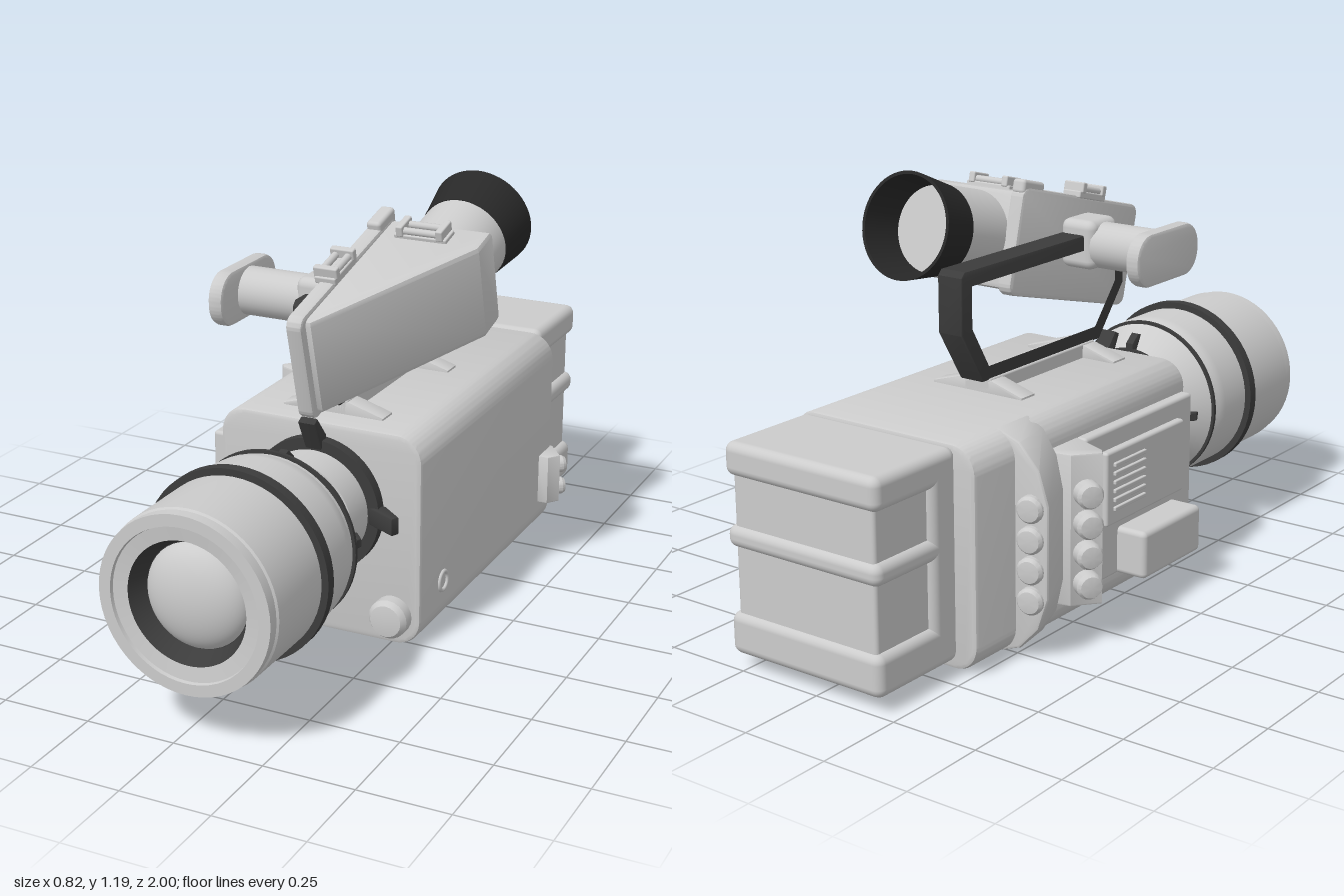
import * as THREE from 'three';
import { toCreasedNormals } from 'three/addons/utils/BufferGeometryUtils.js';
import { RoundedBoxGeometry } from 'three/addons/geometries/RoundedBoxGeometry.js';

const mat = (color, side = THREE.FrontSide) => new THREE.MeshStandardMaterial({ color, side });
const grey = mat(0xcccccc);
const greyTwoSided = mat(0xcccccc, THREE.DoubleSide);
const dark = mat(0x3c3c3c);
const rubber = mat(0x282828, THREE.DoubleSide);

function add(parent, name, geometry, material = grey, pos = [0, 0, 0]) {
  const mesh = new THREE.Mesh(geometry, material);
  mesh.name = name;
  mesh.position.set(...pos);
  parent.add(mesh);
  return mesh;
}

// Rounded box given by its minimum and maximum corners
function box(parent, name, min, max, r = 0.01, material = grey) {
  const size = max.map((v, i) => v - min[i]);
  return add(parent, name, new RoundedBoxGeometry(...size, 3, r), material, min.map((v, i) => v + size[i] / 2));
}

const polygon = pts => new THREE.Shape(pts.map(p => new THREE.Vector2(...p)));

function roundedRect(w, h, r) {
  const s = new THREE.Shape(), x = w / 2 - r, y = h / 2 - r;
  s.absarc(x, y, r, 0, Math.PI / 2);
  s.absarc(-x, y, r, Math.PI / 2, Math.PI);
  s.absarc(-x, -y, r, Math.PI, Math.PI * 1.5);
  s.absarc(x, -y, r, Math.PI * 1.5, Math.PI * 2);
  s.closePath();
  return s;
}

// Bevelled extrusion along z, centred on z = 0
function extrude(shape, depth, b = 0.008) {
  const g = new THREE.ExtrudeGeometry(shape, {
    depth: depth - 2 * b, bevelThickness: b, bevelSize: b, bevelOffset: -b, bevelSegments: 2, curveSegments: 10,
  });
  g.translate(0, 0, b - depth / 2);
  return toCreasedNormals(g, 0.6);
}
// Plan outline in (x, z), extruded along y
const extrudePlan = (pts, height, b) =>
  extrude(polygon(pts.map(([x, z]) => [x, -z])), height, b).rotateX(-Math.PI / 2);
// Side outline in (z, y), extruded along x
const extrudeSide = (shape, width, b) => extrude(shape, width, b).rotateY(-Math.PI / 2);

// Turned part around the z axis, profile in (radius, z)
const turned = (pts, seg = 56) =>
  toCreasedNormals(new THREE.LatheGeometry(pts.map(p => new THREE.Vector2(...p)), seg).rotateX(Math.PI / 2), 0.5);

// Round button pointing along dir
function button(parent, name, pos, dir, r, len) {
  const g = turned([[r, -len], [r, len * 0.5], [r * 0.8, len * 0.85], [0, len]], 20);
  const m = add(parent, name, g, grey, pos);
  m.quaternion.setFromUnitVectors(new THREE.Vector3(0, 0, 1), new THREE.Vector3(...dir).normalize());
}

// Two-part latch, centred on the origin, lying along x
function latch(parent, name, pos, width) {
  const g = new THREE.Group();
  g.name = name;
  g.position.set(...pos);
  box(g, 'latchBase', [-width / 2, -0.015, -0.03], [width / 2, 0.005, 0.03], 0.004);
  for (const z of [-0.018, 0.018])
    add(g, 'latchPin', new THREE.CylinderGeometry(0.01, 0.01, width * 0.75, 12).rotateZ(Math.PI / 2), grey, [0, 0.012, z]);
  for (const s of [-1, 1])
    box(g, 'latchEar', [s * width * 0.38 - 0.01, 0, -0.034], [s * width * 0.38 + 0.01, 0.03, 0.034], 0.004);
  parent.add(g);
  return g;
}

function buildLens() {
  const lens = new THREE.Group();
  lens.name = 'lens';
  lens.position.set(0.04, 0.38, 0);
  add(lens, 'lensBarrel', turned([
    [0.16, 0.26], [0.16, 0.41], [0.145, 0.41], [0.145, 0.44], [0.17, 0.445], [0.17, 0.46], [0.232, 0.54], [0.232, 0.56],
    [0.24, 0.575], [0.243, 0.6], [0.243, 0.965], [0.238, 0.97], [0.238, 1], [0.206, 1], [0.204, 0.99], [0.165, 0.985],
  ]));
  add(lens, 'lensHood', turned([[0.165, 0.985], [0.142, 0.93], [0, 0.93]]), dark);
  const glass = new THREE.SphereGeometry(0.142, 40, 16, 0, Math.PI * 2, 0, Math.PI / 2).rotateX(Math.PI / 2).scale(1, 1, 0.5);
  add(lens, 'frontGlass', glass, grey, [0, 0, 0.92]);
  const rings = [[0.262, 0.715, 0.745], [0.241, 0.54, 0.55], [0.178, 0.445, 0.455], [0.192, 0.28, 0.312]];
  for (const [r, z0, z1] of rings)
    add(lens, 'lensRing', turned([[0.14, z0], [r, z0], [r, z1], [0.14, z1]]), dark);
  // Levers stand out from the mount and focus rings on three sides
  for (const a of [0, Math.PI / 2, Math.PI]) {
    const arm = new THREE.Group();
    arm.name = 'ringLevers';
    arm.rotation.z = a;
    add(arm, 'mountLever', extrudePlan([[0.16, 0.285], [0.2, 0.285], [0.26, 0.335], [0.25, 0.355], [0.16, 0.31]], 0.05, 0.004), dark);
    add(arm, 'focusLever', extrudePlan([[0.16, 0.445], [0.195, 0.445], [0.22, 0.475], [0.215, 0.49], [0.16, 0.46]], 0.025, 0.003), dark);
    lens.add(arm);
  }
  return lens;
}

function buildViewfinder() {
  const v = new THREE.Group();
  v.name = 'viewfinder';
  v.position.set(0, 0.9, 0.22);
  v.rotation.x = 0.253;
  add(v, 'finderCover', extrudeSide(roundedRect(0.58, 0.3, 0.03), 0.045, 0.008), grey, [0.098, 0, 0]);
  add(v, 'finderHousing', extrudePlan([[0.1, 0.265], [0.135, 0.265], [0.4, -0.19], [0.4, -0.28], [0.1, -0.28]], 0.275, 0.015));
  add(v, 'eyepieceTube', turned([[0.125, -0.45], [0.125, -0.26]].concat([[0, -0.26]])), greyTwoSided, [0.24, 0, 0]);
  add(v, 'eyepieceGlass', turned([[0, -0.455], [0.12, -0.455]]), greyTwoSided, [0.24, 0, 0]);
  add(v, 'eyeCup', turned([[0.138, -0.575], [0.147, -0.575], [0.127, -0.44], [0.118, -0.44], [0.138, -0.575]]), rubber, [0.24, 0, 0]);
  latch(v, 'topLatch', [0.235, 0.143, -0.215], 0.15);
  box(v, 'coverLip', [0.078, 0.13, -0.29], [0.12, 0.17, -0.19], 0.01);
  const side = latch(v, 'coverLatch', [0.095, 0.158, 0.03], 0.13);
  side.rotation.y = Math.PI / 2;
  // Short arm joining the finder to the handle
  return v;
}

function buildSideControls() {
  const s = new THREE.Group();
  s.name = 'sideControls';
  // Rounded rear control bulge, narrowing to the front
  const bulge = extrude(polygon([
    [-0.2, 0], [-0.27, 0.025], [-0.33, 0.09], [-0.36, 0.18], [-0.36, 0.43], [-0.33, 0.52], [-0.27, 0.585], [-0.2, 0.61],
  ]), 0.14, 0.008);
  const p = bulge.attributes.position;
  for (let i = 0; i < p.count; i++) if (p.getZ(i) > 0) p.setX(i, -0.2 + (p.getX(i) + 0.2) * 0.7);
  add(s, 'rearControlBulge', toCreasedNormals(bulge, 0.6), grey, [0, 0, -0.45]);
  // Front control block with a slanted button face
  add(s, 'frontControlBlock', extrudePlan([[-0.25, -0.39], [-0.33, -0.375], [-0.385, -0.31], [-0.37, -0.29], [-0.25, -0.24]], 0.42, 0.006),
    grey, [0, 0.315, 0]);
  for (let i = 0; i < 4; i++) {
    const y = 0.17 + i * 0.083;
    button(s, 'rearButton', [-0.312, y, -0.52], [-0.2, 0, -1], 0.037, 0.028);
    button(s, 'frontButton', [-0.366, y, -0.348], [-0.82, 0, -0.57], 0.037, 0.035);
  }
  box(s, 'sidePanel', [-0.29, 0.1, -0.25], [-0.24, 0.525, 0.27], 0.01);
  box(s, 'ventPanel', [-0.31, 0.26, -0.18], [-0.26, 0.47, 0.2], 0.008);
  for (let i = 0; i < 6; i++)
    box(s, 'ventRib', [-0.318, 0.3 + i * 0.025, -0.15], [-0.3, 0.312 + i * 0.025, 0], 0.003);
  box(s, 'sidePod', [-0.38, 0.1, -0.1], [-0.27, 0.235, 0.185], 0.015);
  return s;
}

export function createModel() {
  const model = new THREE.Group();
  model.name = 'videoCamera';

  add(model, 'body', extrude(roundedRect(0.6, 0.605, 0.075), 0.965, 0.012), grey, [0.04, 0.307, -0.2025]);

  // Battery pack: inset core with raised bands
  const battery = new THREE.Group();
  battery.name = 'battery';
  box(battery, 'batteryCore', [-0.19, 0.06, -0.985], [0.27, 0.59, -0.67], 0.01);
  box(battery, 'batteryCollar', [-0.21, 0.04, -0.79], [0.29, 0.61, -0.69], 0.025);
  for (const [y0, y1] of [[0.04, 0.155], [0.33, 0.39], [0.52, 0.61]])
    box(battery, 'batteryBand', [-0.21, y0, -1], [0.29, y1, -0.7], 0.025);
  model.add(battery);

  model.add(buildLens(), buildSideControls(), buildViewfinder());

  // Handle loop and its feet
  const loop = polygon([[0.23, 0.645], [-0.31, 0.645], [-0.4, 0.79], [-0.4, 0.945], [-0.385, 0.96], [0.335, 0.96], [0.35, 0.945], [0.35, 0.79]]);
  loop.holes.push(polygon([[0.21, 0.68], [-0.29, 0.68], [-0.362, 0.8], [-0.362, 0.922], [0.312, 0.922], [0.312, 0.8]]));
  add(model, 'handle', extrudeSide(loop, 0.08, 0.005), dark, [0.04, 0, 0]);
  box(model, 'handleBase', [-0.005, 0.6, -0.29], [0.085, 0.65, 0.2], 0.006);
  for (const z of [-0.26, 0.17])
    add(model, 'handleFoot', extrude(polygon([[-0.11, 0.6], [0.19, 0.6], [0.19, 0.615], [0.09, 0.645], [-0.01, 0.645], [-0.11, 0.615]]), 0.06, 0.004),
      grey, [0, 0, z]);

  // Side grip arm on the handle
  box(model, 'armBlock', [-0.03, 0.86, 0.15], [0.085, 1, 0.28], 0.025);
  add(model, 'armTube', new THREE.CylinderGeometry(0.066, 0.066, 0.2, 32).rotateZ(Math.PI / 2), grey, [-0.12, 0.925, 0.215]);
  add(model, 'armPad', extrudeSide(roundedRect(0.31, 0.15, 0.07), 0.042, 0.01), grey, [-0.22, 0.925, 0.215]);

  // Front knob and the fittings on the model's left side
  button(model, 'frontKnob', [0.26, 0.09, 0.29], [0, 0, 1], 0.056, 0.045);
  const ring = new THREE.TorusGeometry(0.027, 0.006, 8, 28).rotateY(Math.PI / 2);
  add(model, 'socketRing', ring, grey, [0.341, 0.145, 0.13]);
  add(model, 'connectorBlock', extrudePlan([[0.33, -0.685], [0.345, -0.685], [0.395, -0.62], [0.37, -0.585], [0.33, -0.585]], 0.15, 0.004),
    grey, [0, 0.18, 0]);
  for (const y of [0.145, 0.215])
    button(model, 'connectorPlug', [0.378, y, -0.645], [0.8, 0, -0.6], 0.026, 0.026);

  return model;
}
